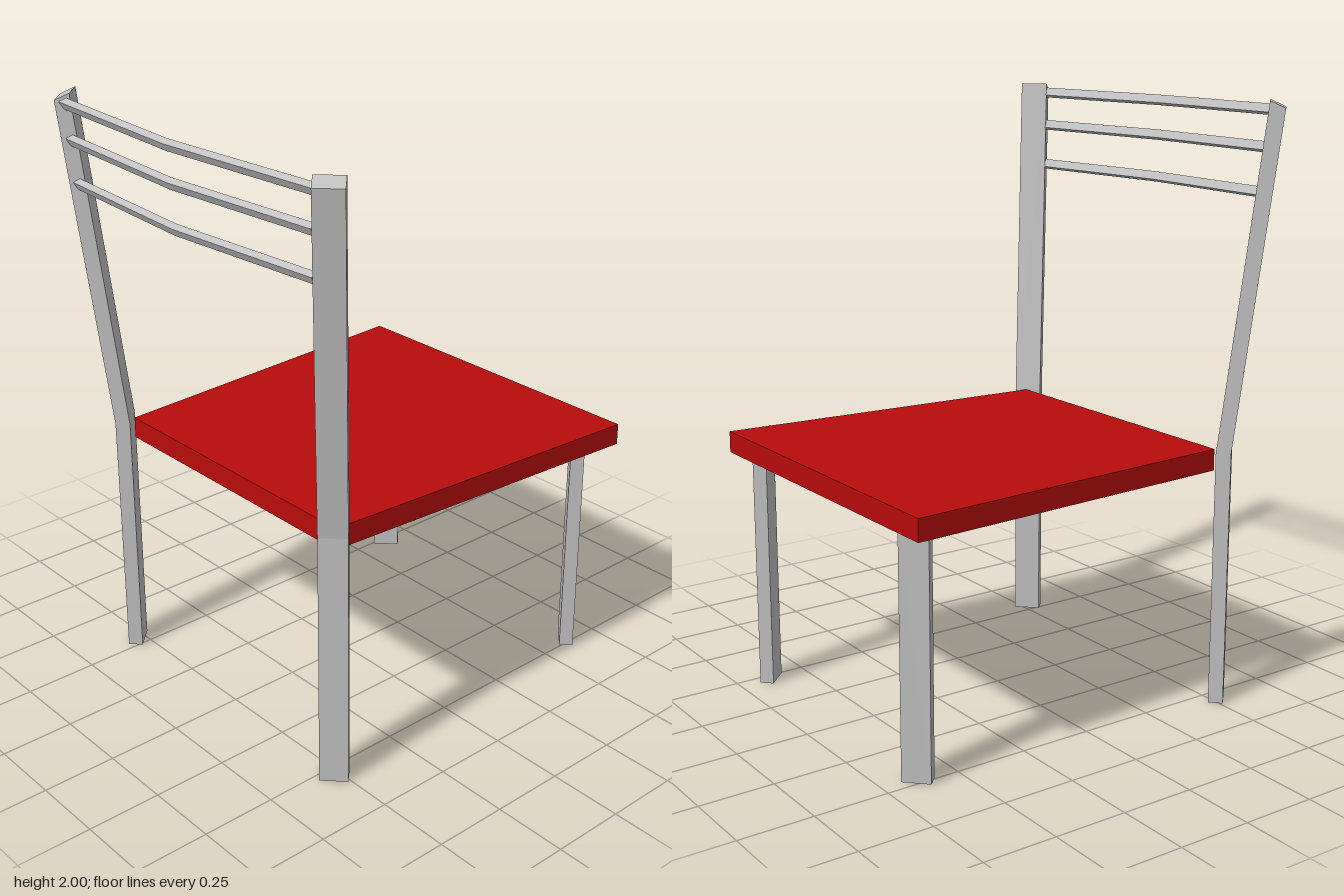
import * as THREE from 'three';

// Flat-faced solid skinned through a list of four-cornered rings, closed at both ends
function loft(rings) {
  const tris = [];
  const quad = (a, b, c, d) => tris.push([a, b, c], [a, c, d]);
  for (let i = 0; i < rings.length - 1; i++) {
    for (let j = 0; j < 4; j++) {
      const k = (j + 1) % 4;
      quad(rings[i][j], rings[i][k], rings[i + 1][k], rings[i + 1][j]);
    }
  }
  quad(...[...rings[0]].reverse());
  quad(...rings[rings.length - 1]);
  // Turn every face outward, whichever way the rings wind
  const vec = (p) => new THREE.Vector3(...p);
  const volume = tris.reduce((s, [a, b, c]) => s + vec(a).dot(vec(b).cross(vec(c))), 0);
  if (volume < 0) tris.forEach((t) => t.reverse());
  const geometry = new THREE.BufferGeometry();
  geometry.setAttribute('position', new THREE.Float32BufferAttribute(tris.flat(2), 3));
  geometry.computeVertexNormals();
  return geometry;
}

export function createModel() {
  const red = new THREE.MeshStandardMaterial({ color: 0xb80c0c });
  red.name = 'seat red';
  const grey = new THREE.MeshStandardMaterial({ color: 0xc0c0c0 });
  grey.name = 'frame grey';

  const chair = new THREE.Group();
  chair.name = 'chair';
  const add = (name, rings, material) => {
    const mesh = new THREE.Mesh(loft(rings), material);
    mesh.name = name;
    chair.add(mesh);
  };

  // Tapered seat slab, wider at the free edge
  const seatPlan = [[-0.5, 0.522], [0.695, 0.597], [0.695, -0.597], [-0.5, -0.522]];
  add('seat', [0.8, 0.873].map((y) => seatPlan.map(([x, z]) => [x, y, z])), red);

  // Legs are rectangular bars turned 45 degrees
  const backPlan = [[-0.475, 0.556], [-0.54, 0.491], [-0.575, 0.526], [-0.51, 0.591]];
  const frontPlan = [[0.614, 0.527], [0.68, 0.461], [0.647, 0.428], [0.581, 0.494]];
  const topHeights = [2, 2, 1.977, 1.977];
  for (const [side, s] of [['left', 1], ['right', -1]]) {
    // Back leg runs up past the seat, then leans back and outward
    add(side + 'BackLegPost', [
      backPlan.map(([x, z]) => [x, 0, s * z]),
      backPlan.map(([x, z]) => [x, 0.87, s * z]),
      backPlan.map(([x, z], i) => [x - 0.092, topHeights[i], s * (z + 0.094)]),
    ], grey);
    add(side + 'FrontLeg', [0, 0.81].map((y) => frontPlan.map(([x, z]) => [x, y, s * z])), grey);
  }

  // Three thin back rails, bent at the middle
  const railSection = [[-0.678, 0.018], [-0.664, -0.008], [-0.684, -0.018], [-0.697, 0.006]];
  const rails = [['upperRail', 1.967, 0, 0.61], ['middleRail', 1.85, 0.009, 0.595], ['lowerRail', 1.708, 0.019, 0.585]];
  for (const [name, y, dx, end] of rails) {
    add(name, [-end, 0, end].map((z) =>
      railSection.map(([x, h]) => [x + dx + (z ? 0.04 : 0), y + h, z])), grey);
  }

  return chair;
}
